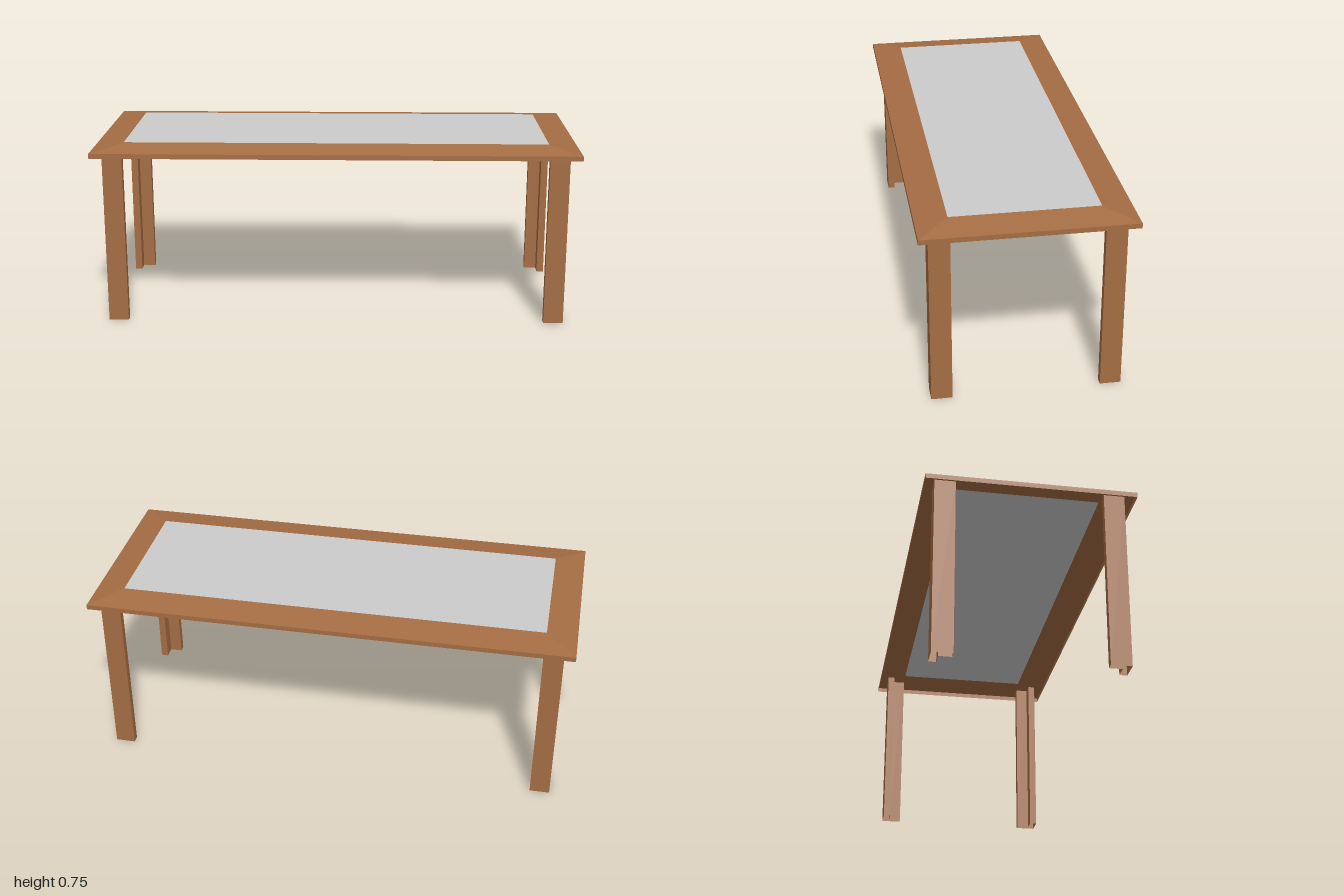
import * as THREE from 'three';

const wood = new THREE.MeshStandardMaterial({ color: 0xa56d43, flatShading: true, side: THREE.DoubleSide });
const pane = new THREE.MeshStandardMaterial({ color: 0xcccccc, side: THREE.DoubleSide });

// Walls between stacked closed loops; each loop is { y, pts: [[x, z], ...] }, counterclockwise from above
function loftWalls(loops) {
  const pos = [];
  for (let k = 0; k < loops.length - 1; k++) {
    const lo = loops[k], hi = loops[k + 1], n = lo.pts.length;
    const at = (loop, i) => [loop.pts[i % n][0], loop.y, loop.pts[i % n][1]];
    for (let i = 0; i < n; i++) {
      const a = at(lo, i), b = at(lo, i + 1), c = at(hi, i + 1), d = at(hi, i);
      pos.push(...a, ...b, ...c, ...a, ...c, ...d);
    }
  }
  const g = new THREE.BufferGeometry();
  g.setAttribute('position', new THREE.Float32BufferAttribute(pos, 3));
  g.computeVertexNormals();
  return g;
}

const rect = (x, z) => [[x, z], [x, -z], [-x, -z], [-x, z]];

// L-shaped leg section with its notch facing the table centre
function legSection(sx, sz) {
  const x0 = 0.873, x1 = 0.955, z0 = 0.292, z1 = 0.375, t = 0.03;
  const pts = [[x1, z1], [x1, z0], [x1 - t, z0], [x1 - t, z1 - t], [x0, z1 - t], [x0, z1]]
    .map(([x, z]) => [x * sx, z * sz]);
  return sx * sz > 0 ? pts : pts.reverse();
}

export function createModel() {
  const table = new THREE.Group();
  table.name = 'table';
  const add = (name, geometry, material) => {
    const mesh = new THREE.Mesh(geometry, material);
    mesh.name = name;
    table.add(mesh);
    return mesh;
  };

  // Hollow frame: upright rim and mitred slope up to the pane
  add('topFrame', loftWalls([
    { y: 0.71, pts: rect(1, 0.415) },
    { y: 0.73, pts: rect(1, 0.415) },
    { y: 0.75, pts: rect(0.876, 0.291) },
  ]), wood);

  // Inset pane
  const inset = add('topPane', new THREE.PlaneGeometry(1.752, 0.582).rotateX(-Math.PI / 2), pane);
  inset.position.y = 0.75;

  // Four open-ended angle legs
  for (const [sx, side] of [[1, 'Left'], [-1, 'Right']])
    for (const [sz, end] of [[1, 'front'], [-1, 'back']]) {
      const pts = legSection(sx, sz);
      add(`${end}${side}Leg`, loftWalls([{ y: 0, pts }, { y: 0.735, pts }]), wood);
    }

  return table;
}
